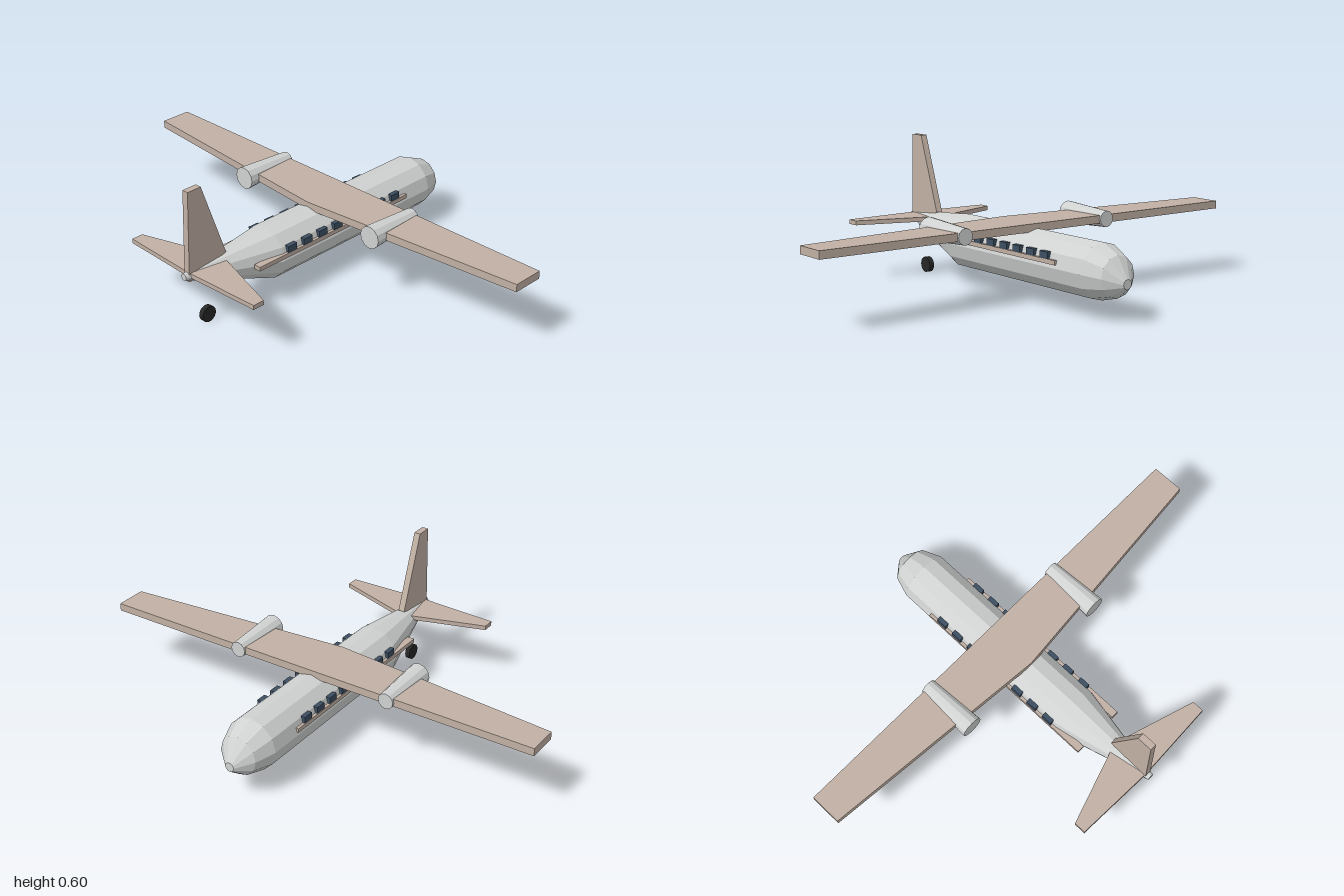
import * as THREE from 'three';

const material = (name, color) => {
  const m = new THREE.MeshStandardMaterial({ color, flatShading: true });
  m.name = name;
  return m;
};

export function createModel() {
  const plane = new THREE.Group();
  plane.name = 'aeroplane';
  const grey = material('light grey', 0xd0d2d2);
  const tan = material('warm tan', 0xc1b0a4);
  const glass = material('window blue', 0x3c4f62);
  const rubber = material('tyre black', 0x262626);

  const add = (name, geometry, mat, x = 0, y = 0, z = 0) => {
    const mesh = new THREE.Mesh(geometry, mat);
    mesh.name = name;
    mesh.position.set(x, y, z);
    plane.add(mesh);
    return mesh;
  };
  const extrude = (points, depth) => new THREE.ExtrudeGeometry(
    new THREE.Shape(points.map(p => new THREE.Vector2(...p))),
    { depth, bevelEnabled: false });

  // Fuselage: 12-sided rings of [z, centre height, radius], nose to tail
  const rings = [
    [-0.713, 0.155, 0.02], [-0.657, 0.176, 0.083], [-0.57, 0.184, 0.113],
    [0.29, 0.184, 0.113], [0.713, 0.245, 0.014],
  ];
  const n = rings.length - 1;
  const body = new THREE.CylinderGeometry(1, 1, 1, 12, n);
  body.rotateX(Math.PI / 2);
  const pos = body.attributes.position;
  for (let i = 0; i < pos.count; i++) {
    const [z, cy, r] = rings[Math.round((pos.getZ(i) + 0.5) * n)];
    pos.setXYZ(i, pos.getX(i) * r, cy + pos.getY(i) * r, z);
  }
  body.computeVertexNormals();
  add('fuselage', body, grey);

  // Wing and tailplane: plan outlines in x and z, mirrored about the centre
  const planform = (half, depth) => {
    const mirrored = half.map(([x, z]) => [-x, z]).reverse().filter(([x]) => x !== 0);
    return extrude([...half, ...mirrored], depth).rotateX(Math.PI / 2);
  };
  add('wing', planform([[1, -0.175], [1, -0.038], [0, 0.052]], 0.033), tan, 0, 0.317);
  add('tailplane',
    planform([[0, 0.515], [0.35, 0.627], [0.35, 0.678], [0, 0.692]], 0.019), tan, 0, 0.258);

  // Fin: side outline in z and y, turned so its thickness runs along x
  const fin = extrude([[-0.508, 0.278], [-0.623, 0.604], [-0.688, 0.604],
    [-0.698, 0.222], [-0.675, 0.224]], 0.028);
  fin.translate(0, 0, -0.014).rotateY(Math.PI / 2);
  add('fin', fin, tan);

  for (const side of [-1, 1]) {
    const label = side > 0 ? 'left' : 'right';
    // Engine nacelle, wider at the rear
    const nacelle = new THREE.CylinderGeometry(0.048, 0.034, 0.25, 12).rotateX(Math.PI / 2);
    add(label + 'Nacelle', nacelle, grey, side * 0.358, 0.3, -0.058);

    // Side strip under the windows
    add(label + 'Strip', new THREE.BoxGeometry(0.032, 0.018, 0.852), tan, side * 0.101, 0.207, 0.001);

    // Window row
    for (let i = 0; i < 8; i++) {
      add(label + 'Window', new THREE.BoxGeometry(0.022, 0.034, 0.047), glass,
        side * 0.104, 0.226, 0.246 - i * 0.086);
    }
  }

  // Tail wheel
  add('tailWheel', new THREE.CylinderGeometry(0.034, 0.034, 0.022, 16).rotateZ(Math.PI / 2),
    rubber, 0, 0.034, 0.602);

  return plane;
}
